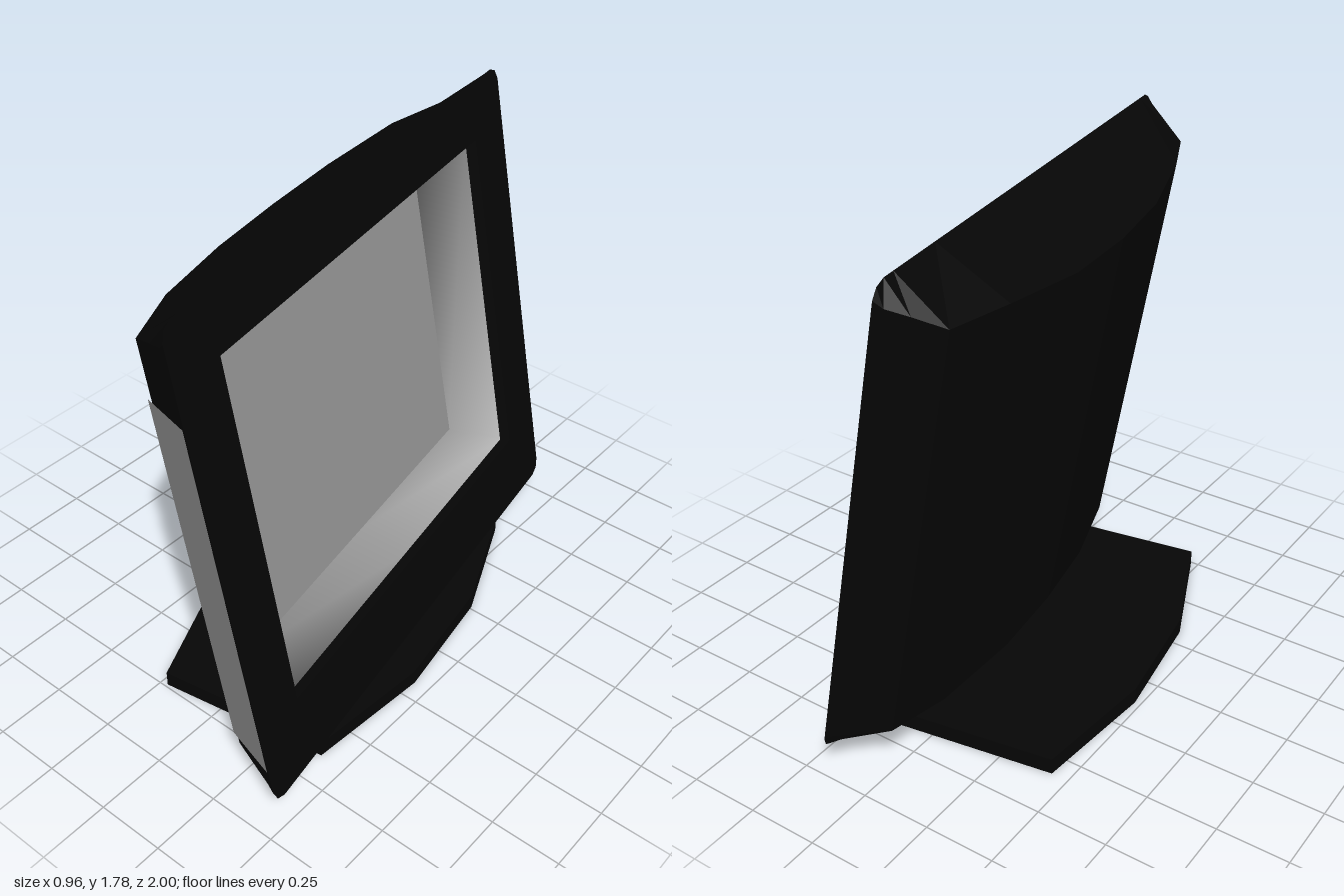
import * as THREE from 'three';
import { mergeVertices } from 'three/addons/utils/BufferGeometryUtils.js';

const black = new THREE.MeshStandardMaterial({ color: 0x060606 });
black.name = 'casing black';
const grey = new THREE.MeshStandardMaterial({ color: 0x9a9a9a });
grey.name = 'screen grey';

const H = 1.703; // casing height

function part(name, geometry, material) {
  const mesh = new THREE.Mesh(geometry, material);
  mesh.name = name;
  return mesh;
}

// Flat-shaded skin between successive rows of [x, y, z] points
function skin(rows) {
  const pos = [];
  for (let i = 0; i < rows.length - 1; i++) {
    for (let j = 0; j < rows[i].length - 1; j++) {
      const a = rows[i][j], b = rows[i + 1][j];
      const c = rows[i + 1][j + 1], d = rows[i][j + 1];
      pos.push(...a, ...b, ...c, ...a, ...c, ...d);
    }
  }
  const g = new THREE.BufferGeometry();
  g.setAttribute('position', new THREE.Float32BufferAttribute(pos, 3));
  g.computeVertexNormals();
  return g;
}

// Shares corners so that the shading blends across them
function smooth(geometry) {
  geometry.deleteAttribute('normal');
  const merged = mergeVertices(geometry);
  merged.computeVertexNormals();
  return merged;
}

// Clockwise closed rectangle, with midpoints on the long edges
function rectangle(halfWidth, bottom, top, z) {
  return [[-1, top], [0, top], [1, top], [1, bottom], [0, bottom], [-1, bottom], [-1, top]]
    .map(([s, y]) => [s * halfWidth, y, z]);
}

export function createModel() {
  const model = new THREE.Group();

  // Base plate: half outline repeated by a half turn about its centre
  const cx = -0.018, cz = 0.03;
  const half = [[-0.42, -0.61], [0.205, -0.71], [0.39, -0.29], [0.46, 0.15]];
  const outline = [...half, ...half.map(([x, z]) => [-x, -z])]
    .map(([x, z]) => new THREE.Vector2(cx + x, -(cz + z)));
  const baseGeometry = new THREE.ExtrudeGeometry(new THREE.Shape(outline), { depth: 0.058, bevelEnabled: false });
  baseGeometry.rotateX(-Math.PI / 2);
  model.add(part('basePlate', baseGeometry, black));

  // Monitor, tilted back and turned sideways
  const monitor = new THREE.Group();
  monitor.name = 'monitor';
  monitor.rotation.set(-0.1745, Math.PI / 2 + 0.162, 0, 'YXZ');
  monitor.position.set(0.325, 0.107, -0.025);
  model.add(monitor);

  // Casing back: half width, front corner inset, depth, back inset
  const steps = [[0.99, 0.05, 0, 0.05], [0.975, 0.015, 0.028, 0.07], [0.94, 0, 0.0925, 0.085],
    [0.89, 0, 0.185, 0.11], [0.66, 0, 0.253, 0.102], [0.32, 0, 0.312, 0.118]];
  const sections = [
    ...steps.map(([x, ...rest]) => [-x, ...rest]), [0, 0, 0.325, 0.122],
    ...[...steps].reverse(),
  ];
  const rows = sections.map(([x, inset, d, back]) =>
    [[x, H - inset, 0], [x, H - back, -d], [x, back, -d], [x, inset, 0]]);
  monitor.add(part('casingBack', skin(rows), black));

  // Bezel with the screen opening and its thin inner lip
  const rim = [
    ...sections.map(([x, i]) => new THREE.Vector2(x, i)),
    ...sections.map(([x, i]) => new THREE.Vector2(x, H - i)).reverse(),
  ];
  const bezel = new THREE.Shape(rim);
  const opening = rectangle(0.78, 0.268, 1.506, 0);
  bezel.holes.push(new THREE.Path(opening.slice(0, 6).map(([x, y]) => new THREE.Vector2(x, y))));
  monitor.add(part('bezel', new THREE.ShapeGeometry(bezel), black));
  const lip = rectangle(0.77, 0.27, 1.504, -0.035);
  monitor.add(part('bezelLip', skin([opening, lip]), black));

  // Recess walls and screen
  const depth = -0.215;
  const low = 0.327, high = 1.442;
  const walls = smooth(skin([lip, rectangle(0.7, low, high, depth)]));
  monitor.add(part('screenSurround', walls, grey));
  const screen = new THREE.PlaneGeometry(1.4, high - low);
  screen.translate(0, (low + high) / 2, depth);
  monitor.add(part('screen', screen, grey));

  // Side panel wrapping onto the back: x, z, bottom, top
  const columns = [[-0.995, 0, 0.145, 1.396], [-0.897, -0.191, 0.158, 1.404],
    [-0.86, -0.202, 0.175, 1.406], [-0.82, -0.214, 0.25, 1.404], [-0.785, -0.225, 0.48, 1.374]];
  const panel = skin(columns.map(([x, z, b, t]) => [[x, t, z], [x, b, z]]));
  monitor.add(part('sidePanel', panel, grey));

  return model;
}
